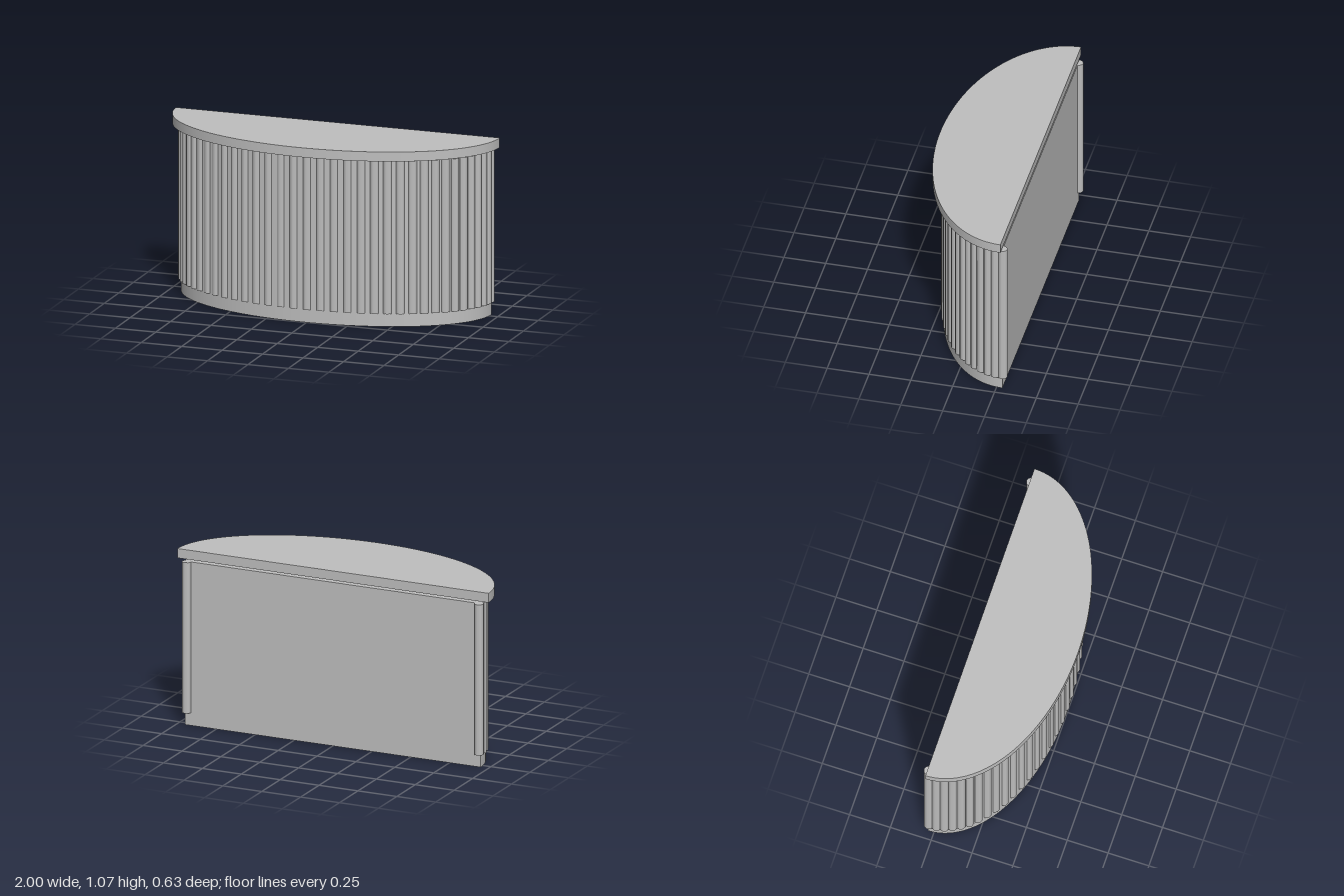
import * as THREE from 'three';
import { toCreasedNormals } from 'three/addons/utils/BufferGeometryUtils.js';

const BACK = -0.285; // z of the flat back

// Half-ellipse slab with a flat back, from y = bottom to y = top
function halfEllipse(name, a, b, bottom, top, material) {
  const shape = new THREE.Shape();
  shape.absellipse(0, 0, a, b, 0, Math.PI, false);
  shape.closePath();
  const geometry = new THREE.ExtrudeGeometry(shape, {
    depth: top - bottom, bevelEnabled: false, curveSegments: 64,
  });
  geometry.rotateX(Math.PI / 2);
  geometry.translate(0, top, BACK);
  const mesh = new THREE.Mesh(toCreasedNormals(geometry, 0.5), material);
  mesh.name = name;
  return mesh;
}

export function createModel() {
  const grey = new THREE.MeshStandardMaterial({ color: 0xbfbfbf });
  grey.name = 'grey';

  const model = new THREE.Group();
  model.name = 'recessedCounter';

  // Core body reaching the floor, and the overhanging top
  model.add(halfEllipse('body', 0.95, 0.534, 0, 0.997, grey));
  model.add(halfEllipse('counterTop', 1, 0.6, 1.01, 1.067, grey));

  // Round slats spaced evenly by angle along the curved front
  const slats = new THREE.Group();
  slats.name = 'slats';
  const bottom = 0.078, top = 0.997, steps = 36;
  const slatGeometry = new THREE.CylinderGeometry(0.029, 0.029, top - bottom, 8);
  for (let i = 0; i <= steps; i++) {
    const t = (i / steps) * Math.PI;
    const slat = new THREE.Mesh(slatGeometry, grey);
    slat.name = 'slat';
    slat.position.set(0.94 * Math.cos(t), (top + bottom) / 2, BACK + 0.519 * Math.sin(t));
    slats.add(slat);
  }
  model.add(slats);
  return model;
}
